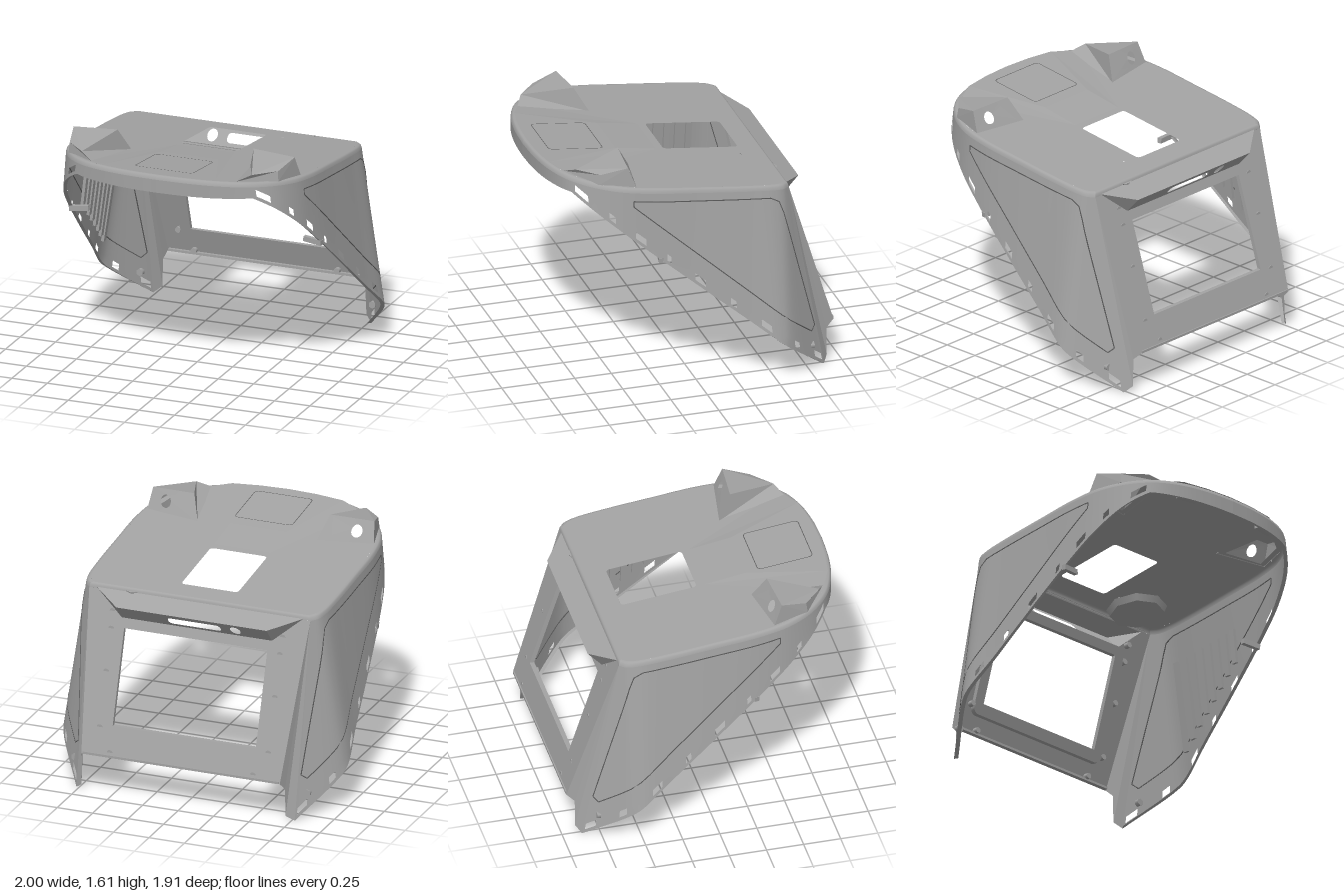
import * as THREE from 'three';

const V = (x, y, z) => new THREE.Vector3(x, y, z);
const topY = z => 1.42 + 0.115 * z;                      // sloping roof plane
const rimY = z => Math.min(0.73 + 0.838 * z, 1.41);      // diagonal lower rim
const backZ = y => -0.625 - (1.318 - y) * 0.32;          // leaning rear panel

// Half outline, front centre to rear corner: roof edge x, z, then rim x, z
const OUTLINE = [
  [0, 0.95, 0, 0.95], [0.2, 0.94, 0.2, 0.94], [0.4, 0.905, 0.4, 0.905], [0.58, 0.83, 0.59, 0.83],
  [0.72, 0.7, 0.74, 0.7], [0.81, 0.53, 0.83, 0.53], [0.845, 0.33, 0.88, 0.33], [0.85, 0, 0.93, 0],
  [0.85, -0.3, 0.968, -0.3], [0.84, -0.5, 1, -0.52], [0.82, -0.58, 0.975, -0.59], [0.78, -0.625, 0.77, -0.87],
];
const roofEdge = new THREE.CatmullRomCurve3(OUTLINE.map(p => V(p[0], 0, p[1])));
const rimEdge = new THREE.CatmullRomCurve3(OUTLINE.map(p => V(p[2], 0, p[3])));
const roofAt = u => { const p = roofEdge.getPoint(u); p.y = topY(p.z) - 0.03; return p; };
const rimAt = u => { const p = rimEdge.getPoint(u); p.y = rimY(p.z); return p; };

// Point on the side wall at a given height and depth
function wallAt(z, y) {
  let lo = 0, hi = 1, p;
  for (let i = 0; i < 30; i++) {
    const u = (lo + hi) / 2, a = roofAt(u), b = rimAt(u);
    p = a.clone().lerp(b, (a.y - y) / (a.y - b.y));
    if (p.z > z) lo = u; else hi = u;
  }
  return p;
}

// Surface through rows of points; skip(row, column) leaves an opening
function grid(rows, skip = () => false) {
  const n = rows[0].length, idx = [];
  for (let r = 0; r < rows.length - 1; r++) for (let c = 0; c < n - 1; c++) {
    if (skip(r, c)) continue;
    const a = r * n + c, b = a + n;
    idx.push(a, b, a + 1, b, b + 1, a + 1);
  }
  const g = new THREE.BufferGeometry().setFromPoints(rows.flat());
  g.setIndex(idx);
  g.computeVertexNormals();
  return g;
}

// Flat polygons, each a fan of corners
function facets(polys) {
  const pts = [];
  for (const p of polys) for (let i = 1; i < p.length - 1; i++) pts.push(p[0], p[i], p[i + 1]);
  const g = new THREE.BufferGeometry().setFromPoints(pts);
  g.computeVertexNormals();
  return g;
}

// Reposition every vertex by a rule
function remap(g, rule) {
  const p = g.attributes.position;
  for (let i = 0; i < p.count; i++) {
    const q = rule(p.getX(i), p.getY(i), p.getZ(i));
    p.setXYZ(i, q.x, q.y, q.z);
  }
  g.computeVertexNormals();
  return g;
}

const poly = pts => new THREE.Shape(pts.map(p => new THREE.Vector2(p[0], p[1])));
function roundRect(x0, y0, x1, y1, r) {
  const s = new THREE.Shape();
  s.absarc(x1 - r, y1 - r, r, 0, Math.PI / 2);
  s.absarc(x0 + r, y1 - r, r, Math.PI / 2, Math.PI);
  s.absarc(x0 + r, y0 + r, r, Math.PI, Math.PI * 1.5);
  s.absarc(x1 - r, y0 + r, r, Math.PI * 1.5, Math.PI * 2);
  s.closePath();
  return s;
}
const ellipse = (x, y, rx, ry) => new THREE.Shape().absellipse(x, y, rx, ry, 0, Math.PI * 2);

export function createModel() {
  const shell = new THREE.MeshStandardMaterial({ name: 'shell grey', color: 0xa3a3a3, side: THREE.DoubleSide });
  const seam = new THREE.MeshStandardMaterial({ name: 'seam dark grey', color: 0x5c5c5c, side: THREE.DoubleSide });
  const model = new THREE.Group();
  model.name = 'equipmentCover';
  const half = new THREE.Group();
  half.name = 'leftHalf';
  const add = (parent, name, g, m = shell) => {
    const o = new THREE.Mesh(g, m);
    o.name = name;
    parent.add(o);
    return o;
  };
  const bar = (parent, name, a, b, w, d, m = shell) => {
    const o = add(parent, name, new THREE.BoxGeometry(w, d, a.distanceTo(b)), m);
    o.position.copy(a).lerp(b, 0.5);
    o.lookAt(b);
    return o;
  };

  // Side wall with a slotted rim
  const N = 264, us = Array.from({ length: N + 1 }, (_, i) => i / N);
  const slots = [0.76, 0.59, 0.41, 0.23, 0.03, -0.19, -0.41, -0.63, -0.82];
  const wallRow = d => us.map(u => {
    const a = roofAt(u), b = rimAt(u);
    return b.lerp(a, d < 0 ? 1 : d / (a.y - b.y));
  });
  const isSlot = (r, c) => r === 1 && slots.some((z, i) => Math.abs(rimAt(us[c]).z - z) < (i % 2 ? 0.018 : 0.034));
  add(half, 'sideWall', grid([wallRow(-1), wallRow(0.07), wallRow(0.025), wallRow(0)], isSlot));
  add(half, 'rimFlange', grid([wallRow(0), wallRow(0).map(p => V(p.x * 0.975, p.y + 0.004, p.z * 0.975))]));

  // Rear corner and its hanging tab
  add(half, 'rearCornerTab', facets([[roofAt(1), rimAt(1), V(0.72, 0.04, -0.905), V(0.715, 0.23, -0.905), V(0.7, 0.28, backZ(0.28))]]));

  // Softened roof edge
  const edge = [...us.map(u => roofEdge.getPoint(u)), V(0.4, 0, -0.625), V(0, 0, -0.625)];
  const edgeRow = (k, drop) => edge.map(p => V(p.x * k, topY(p.z * k) - drop, p.z * k));
  add(half, 'roofEdge', grid([edgeRow(0.97, 0), edgeRow(0.985, 0.003), edgeRow(0.995, 0.012),
    edge.map(p => V(p.x, topY(p.z) - 0.03, p.z))]));

  // Lamp pod: base corners, then raised corners
  const base = [[0.8, 0.42], [0.42, 0.36], [0.5, 0.83], [0.74, 0.66]].map(p => V(p[0], topY(p[1]) - 0.004, p[1]));
  const cap = [V(0.78, 1.605, 0.475), V(0.48, 1.615, 0.45), V(0.6, 1.557, 0.775), V(0.735, 1.56, 0.65)];
  add(half, 'lampPod', facets([cap, ...[1, 2, 3].map(i => [base[i], base[(i + 1) % 4], cap[(i + 1) % 4], cap[i]])]));
  const podBack = poly([[0, 0], [1, 0], [1, 1], [0, 1]]);
  podBack.holes.push(ellipse(0.66, 0.5, 0.11, 0.27));
  add(half, 'lampPodBack', remap(new THREE.ShapeGeometry(podBack, 10), (u, v) =>
    base[1].clone().lerp(base[0], u).lerp(cap[1].clone().lerp(cap[0], u), v)));

  // Folded crease beside the raised front strip
  const lift = (x, z, h) => V(x, topY(z) + h, z);
  add(half, 'frontCrease', facets([[lift(0.2, 0.1, 0.001), lift(0.2, 0.38, 0.013), lift(0.39, 0.885, 0.013), lift(0.56, 0.8, 0.001)]]));

  // Panel seam on the side wall
  const seamPath = [[0.45, 1.385], [-0.48, 1.285], [-0.54, 1.25], [-0.57, 1.17], [-0.8, 0.3], [-0.77, 0.27], [0.45, 1.345], [0.45, 1.385]];
  for (let i = 0; i < seamPath.length - 1; i++) {
    const [z0, y0] = seamPath[i], [z1, y1] = seamPath[i + 1];
    const n = Math.max(1, Math.round(Math.hypot(z1 - z0, y1 - y0) / 0.08));
    const at = k => wallAt(z0 + (z1 - z0) * k / n, y0 + (y1 - y0) * k / n);
    for (let k = 0; k < n; k++) bar(half, 'sideSeam', at(k), at(k + 1), 0.006, 0.006, seam);
  }

  // Stiffening ribs inside the wall, and a brace at mid height
  for (let i = 0; i < 8; i++) {
    const z = -0.46 + i * 0.075;
    const a = wallAt(z, topY(z) - 0.28), b = wallAt(z, rimY(z) + 0.13);
    a.x -= 0.024; b.x -= 0.024;
    bar(half, 'innerRib', a, b, 0.04, 0.02);
  }
  bar(half, 'innerBrace', V(0.89, 0.96, 0.28), V(0.76, 0.97, 0.26), 0.03, 0.035);
  bar(half, 'frontClip', V(0.28, 1.435, 0.895), V(0.42, 1.435, 0.865), 0.05, 0.03);

  // Mounting studs on the rear panel and tab
  for (const [x, y] of [[0.595, 1.08], [0.595, 0.81], [0.595, 0.46], [0.505, 0.31], [0.6, 1.19]]) {
    const s = add(half, 'stud', new THREE.CylinderGeometry(0.02, 0.02, 0.035, 12));
    s.rotation.x = Math.PI / 2;
    s.position.set(x, y, backZ(y) + 0.018);
  }
  const tabStud = add(half, 'tabStud', new THREE.CylinderGeometry(0.025, 0.025, 0.03, 6));
  tabStud.rotation.x = Math.PI / 2;
  tabStud.position.set(0.82, 0.17, -0.77);

  const other = half.clone();
  other.name = 'rightHalf';
  other.scale.x = -1;
  model.add(half, other);

  // Roof with hatch opening, screw holes and openings below the pods
  const rightEdge = us.filter((_, i) => i % 4 === 0).map(u => roofEdge.getPoint(u)).map(p => [p.x * 0.97, -p.z * 0.97]);
  const roof = poly([...rightEdge, ...rightEdge.slice(1).reverse().map(p => [-p[0], p[1]])]);
  roof.holes.push(roundRect(-0.2, -0.05, 0.2, 0.46, 0.025));
  for (const [x, z] of [[0.48, -0.595], [0.48, -0.44], [0.32, -0.44], [0.63, -0.44], [0.48, -0.29]])
    roof.holes.push(ellipse(x, -z, 0.009, 0.009));
  for (const s of [1, -1])
    roof.holes.push(poly([[0.76, 0.43], [0.47, 0.395], [0.54, 0.75], [0.7, 0.64]].map(p => [s * p[0], -p[1]])));
  add(model, 'roof', remap(new THREE.ShapeGeometry(roof, 8), (x, y) => V(x, topY(-y), -y)));

  // Raised front strip with its panel seam
  const front = [[0.39, 0.885], [0.2, 0.912], [0, 0.922], [-0.2, 0.912], [-0.39, 0.885]].map(p => lift(p[0], p[1], 0.013));
  add(model, 'frontStrip', facets([
    [lift(-0.2, 0.38, 0.013), lift(0.2, 0.38, 0.013), ...front].reverse(),
    [lift(-0.2, 0.38, 0.013), lift(0.2, 0.38, 0.013), lift(0.2, 0.1, 0.001), lift(-0.2, 0.1, 0.001)],
  ]));
  const ring = roundRect(-0.205, -0.835, 0.205, -0.46, 0.03);
  ring.holes.push(roundRect(-0.2, -0.83, 0.2, -0.465, 0.026));
  add(model, 'frontSeam', remap(new THREE.ShapeGeometry(ring, 6), (x, y) => lift(x, -y, 0.016)), seam);
  bar(model, 'centreClip', V(-0.05, 1.44, 0.925), V(0.05, 1.44, 0.925), 0.04, 0.025);

  // Rear panel with window and the opening behind the lip
  const back = poly([[-0.7, 0.28], [0.7, 0.28], [0.78, 1.318], [-0.78, 1.318]]);
  back.holes.push(poly([[-0.505, 0.48], [0.505, 0.48], [0.505, 1.095], [-0.505, 1.095]]));
  back.holes.push(poly([[-0.53, 1.16], [0.53, 1.16], [0.7, 1.31], [-0.7, 1.31]]));
  add(model, 'rearPanel', remap(new THREE.ShapeGeometry(back), (x, y) => V(x, y, backZ(y))));
  bar(model, 'rearPanelFold', V(-0.69, 0.288, -0.945), V(0.69, 0.288, -0.945), 0.03, 0.016);

  // Window frame on the inside
  const frame = roundRect(-0.58, 0.405, 0.58, 1.155, 0.05);
  frame.holes.push(poly([[-0.505, 0.48], [0.505, 0.48], [0.505, 1.095], [-0.505, 1.095]]));
  add(model, 'windowFrame', remap(new THREE.ExtrudeGeometry(frame, { depth: 0.03, bevelEnabled: false, curveSegments: 6 }),
    (x, y, z) => V(x, y, backZ(y) + z)));

  // Overhanging rear lip with slot and round port
  const corner = s => [V(s * 0.73, 1.326, -0.622), V(s * 0.53, 1.265, -0.77), V(s * 0.53, 1.16, backZ(1.16))];
  const [l, r] = [corner(1), corner(-1)];
  add(model, 'rearLip', facets([[l[0], l[1], r[1], r[0]], l, [...r].reverse()]));
  const lip = poly([[-0.53, 1.16], [0.53, 1.16], [0.53, 1.265], [-0.53, 1.265]]);
  lip.holes.push(roundRect(-0.185, 1.18, 0.185, 1.235, 0.025), ellipse(-0.29, 1.21, 0.036, 0.034));
  const slope = (backZ(1.16) + 0.77) / 0.105;
  add(model, 'rearLipFace', remap(new THREE.ShapeGeometry(lip, 10), (x, y) => V(x, y, -0.77 + (1.265 - y) * slope)));

  // Mounting plate hung under the roof screws
  const plate = add(model, 'mountingPlate', new THREE.CylinderGeometry(0.2, 0.18, 0.045, 8));
  plate.position.set(0.48, topY(-0.44) - 0.04, -0.44);
  plate.rotation.x = -Math.atan(0.115);
  return model;
}
